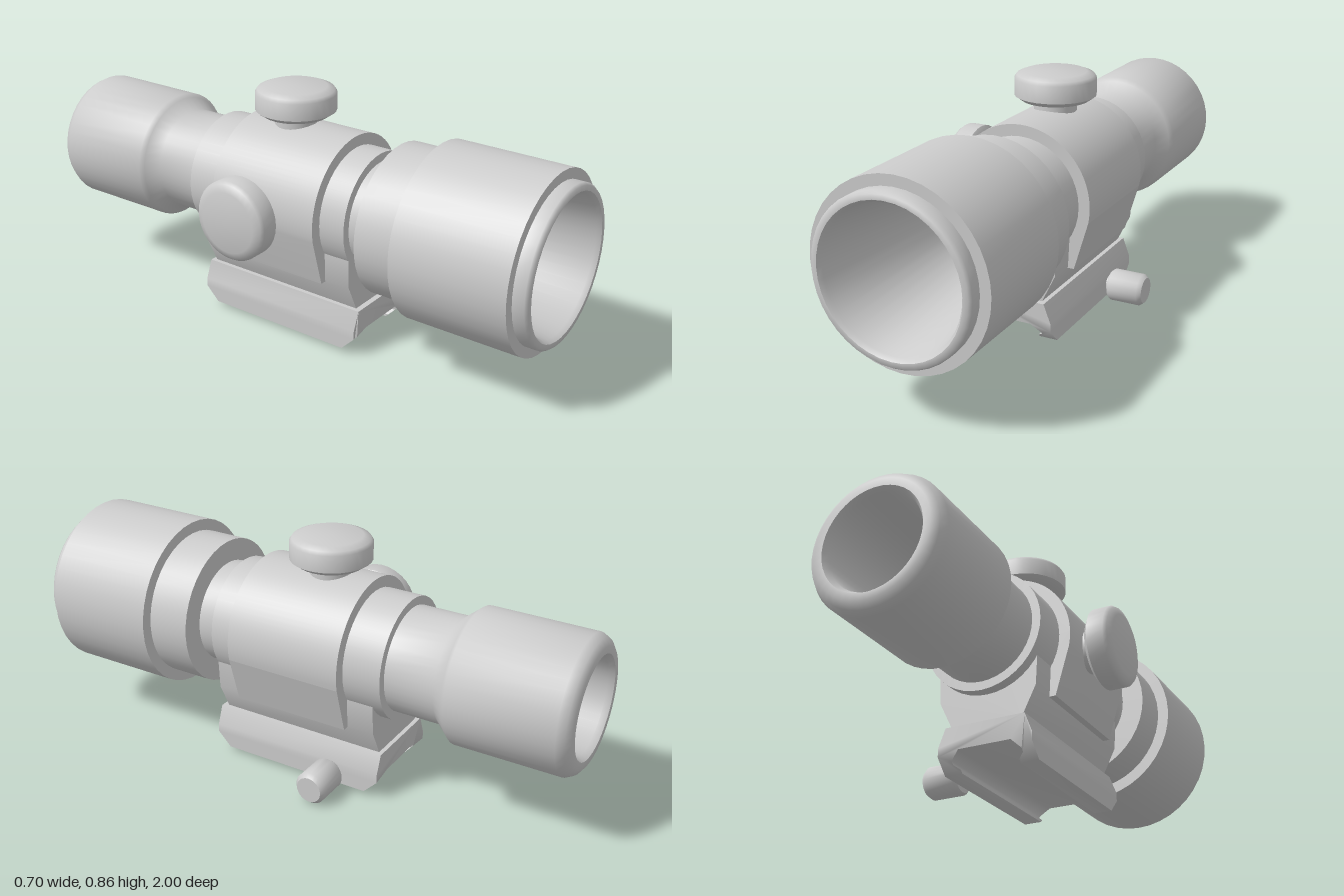
import * as THREE from 'three';
import { toCreasedNormals } from 'three/addons/utils/BufferGeometryUtils.js';

const AXIS_X = 0.03, AXIS_Y = 0.48; // optical axis
const material = new THREE.MeshStandardMaterial({ color: 0xcccccc });

function part(name, geometry, x = AXIS_X, y = 0, z = 0) {
  const mesh = new THREE.Mesh(toCreasedNormals(geometry, 0.9), material);
  mesh.name = name;
  mesh.position.set(x, y, z);
  return mesh;
}

// Turned part from [radius, height] pairs, outside listed upwards
function turned(profile, segments = 32) {
  return new THREE.LatheGeometry(profile.map(([r, h]) => new THREE.Vector2(r, h)), segments);
}

// Cross-section in x/y extruded between two z values
function extruded(shape, z0, z1) {
  return new THREE.ExtrudeGeometry(shape, { depth: z1 - z0, bevelEnabled: false, curveSegments: 24 }).translate(0, 0, z0);
}

export function createModel() {
  const model = new THREE.Group();

  // Hollow tube: eyepiece, narrow neck, collar, front bell, then the bore back to the eyepiece
  model.add(part('scopeTube', turned([
    [0.175, -1], [0.2, -1], [0.222, -0.985], [0.235, -0.96], [0.235, -0.59], [0.222, -0.575], [0.185, -0.53],
    [0.185, -0.355], [0.215, -0.355], [0.215, 0.31], [0.185, 0.31], [0.185, 0.385],
    [0.265, 0.385], [0.265, 0.54], [0.306, 0.54], [0.306, 0.95], [0.27, 0.95],
    [0.27, 0.99], [0.262, 1], [0.245, 1], [0.235, 0.985],
    [0.163, 0.4], [0.163, -0.98], [0.175, -1],
  ], 40).rotateX(Math.PI / 2), AXIS_X, AXIS_Y));

  // Turret housing: round on top, sides drawn in slightly towards a flat lower edge
  const housing = new THREE.Shape();
  housing.moveTo(-0.2, 0.26);
  housing.lineTo(0.2, 0.26);
  housing.lineTo(0.25, 0.43);
  housing.absarc(0, AXIS_Y, 0.255, -0.198, Math.PI + 0.198, false);
  housing.closePath();
  const bore = new THREE.Path();
  bore.absarc(0, AXIS_Y, 0.2, 0, Math.PI * 2, true);
  housing.holes.push(bore);
  model.add(part('turretHousing', extruded(housing, -0.217, 0.213)));

  // Flared riser cradling the tube
  const riser = new THREE.Shape();
  riser.moveTo(-0.127, 0.16);
  riser.lineTo(0.127, 0.16);
  riser.lineTo(0.178, 0.265);
  riser.lineTo(0.183, 0.37);
  const a = Math.atan2(-0.11, 0.167);
  riser.absarc(0, AXIS_Y, 0.2, a, -Math.PI - a, true);
  riser.lineTo(-0.183, 0.37);
  riser.lineTo(-0.178, 0.265);
  riser.closePath();
  model.add(part('riser', extruded(riser, -0.315, 0.31)));

  // Rail clamp: mirrored channel section with inward hooks
  const half = [[0.146, 0.167], [0.172, 0.1], [0.172, 0.07], [0.172, 0.02], [0.107, 0.02],
    [0.107, 0.03], [0.128, 0.045], [0.128, 0.055], [0.096, 0.085]];
  const section = [...half, ...half.map(([x, y]) => [-x, y]).reverse()];
  const clamp = extruded(new THREE.Shape(section.map(([x, y]) => new THREE.Vector2(x, y))), -0.33, 0.33);
  // Slope the lower end corners inwards
  const pos = clamp.attributes.position;
  for (let i = 0; i < pos.count; i++) {
    const cut = Math.max(0, 0.07 - pos.getY(i));
    pos.setZ(i, pos.getZ(i) - Math.sign(pos.getZ(i)) * cut);
  }
  model.add(part('railClamp', clamp));

  // Adjustment knobs on top and on the right side, each on a short stem
  const knobProfile = [[0.075, -0.06], [0.075, 0.005], [0.118, 0.005], [0.142, 0.022], [0.142, 0.082],
    [0.134, 0.094], [0.108, 0.104], [0, 0.104]];
  model.add(part('elevationKnob', turned(knobProfile), AXIS_X, 0.757, -0.045));
  model.add(part('windageKnob', turned(knobProfile).rotateZ(Math.PI / 2), -0.246, AXIS_Y, -0.045));

  // Clamp screw on the left side
  const screw = turned([[0.03, -0.03], [0.03, 0], [0.05, 0], [0.058, 0.01],
    [0.058, 0.118], [0.046, 0.133], [0, 0.133]], 24).rotateZ(-Math.PI / 2);
  model.add(part('clampScrew', screw, 0.213, 0.06, -0.147));

  return model;
}
